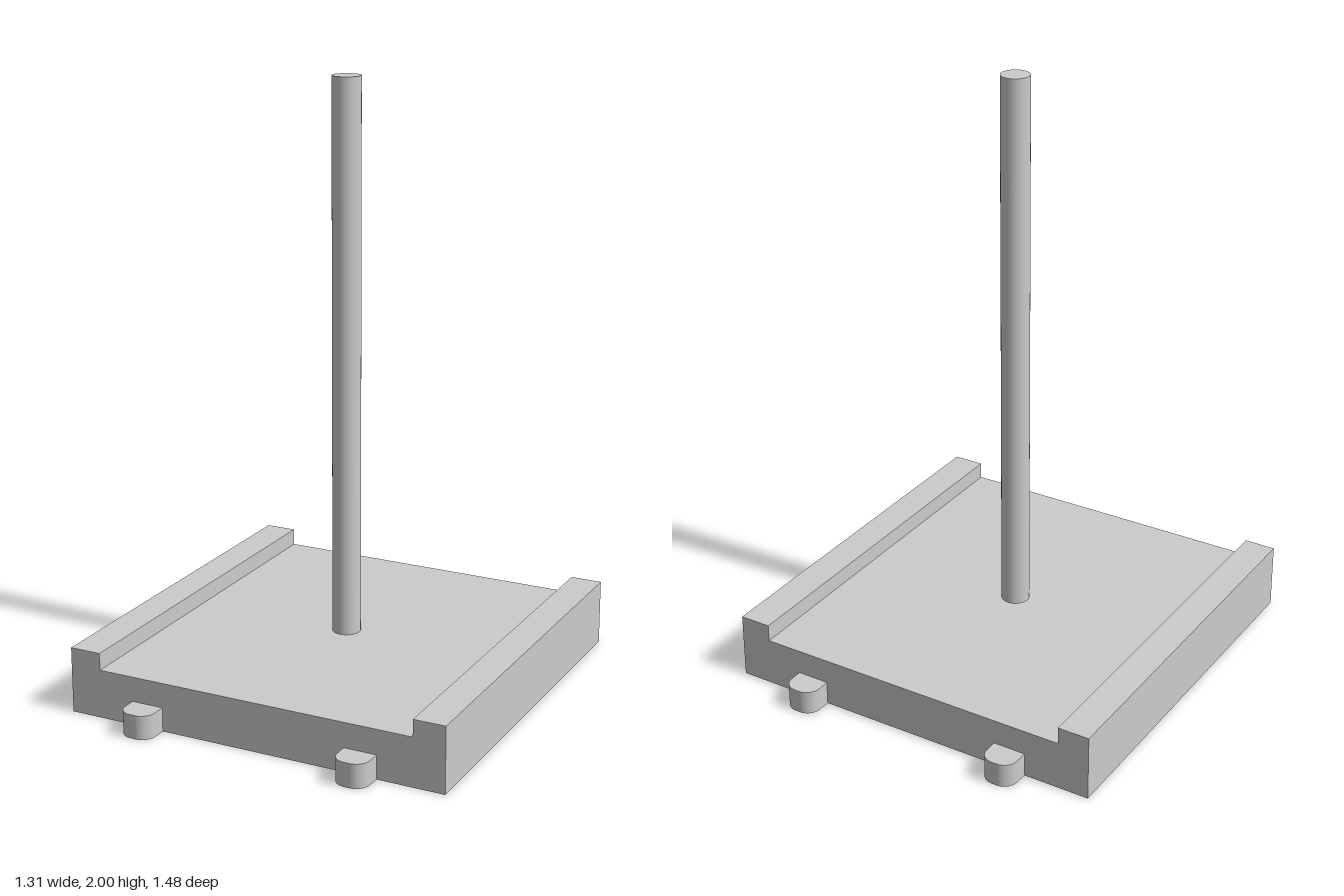
import * as THREE from 'three';

const HALF = 0.653;       // half width and depth of the base
const RAIL_X = 0.546;     // inner face of the side rails
const DECK_Y = 0.163;
const RAIL_Y = 0.22;

export function createModel() {
  const group = new THREE.Group();
  const material = new THREE.MeshStandardMaterial({ color: 0xcccccc });
  const add = (name, geometry) => {
    const mesh = new THREE.Mesh(geometry, material);
    mesh.name = name;
    group.add(mesh);
    return mesh;
  };

  // Base plate with a raised rail along each side
  const profile = new THREE.Shape([
    [-HALF, 0], [HALF, 0], [HALF, RAIL_Y], [RAIL_X, RAIL_Y],
    [RAIL_X, DECK_Y], [-RAIL_X, DECK_Y], [-RAIL_X, RAIL_Y], [-HALF, RAIL_Y],
  ].map(([x, y]) => new THREE.Vector2(x, y)));
  const base = new THREE.ExtrudeGeometry(profile, { depth: 2 * HALF, bevelEnabled: false });
  add('railedBase', base.translate(0, 0, -HALF));

  // Upright rod in the middle of the deck
  const rod = new THREE.CylinderGeometry(0.047, 0.047, 2 - DECK_Y, 32);
  add('rod', rod).position.y = (2 + DECK_Y) / 2;

  // Tabs with rounded outer corners, two at the front and two at the back
  const w = 0.055, length = 0.088, r = 0.046;
  const outline = new THREE.Shape();
  outline.moveTo(-w, 0);
  outline.lineTo(w, 0);
  outline.lineTo(w, length - r);
  outline.absarc(w - r, length - r, r, 0, Math.PI / 2);
  outline.lineTo(r - w, length);
  outline.absarc(r - w, length - r, r, Math.PI / 2, Math.PI);
  outline.closePath();
  const tab = new THREE.ExtrudeGeometry(outline, { depth: 0.08, bevelEnabled: false, curveSegments: 8 });
  tab.rotateX(Math.PI / 2).translate(0, 0.08, 0); // outline now points to +z
  for (const [end, sz] of [['front', 1], ['back', -1]]) {
    for (const [side, sx] of [['Left', 1], ['Right', -1]]) {
      const mesh = add(`${end}${side}Tab`, tab);
      mesh.position.set(sx * 0.373, 0, sz * HALF);
      if (sz < 0) mesh.rotation.y = Math.PI;
    }
  }
  return group;
}
